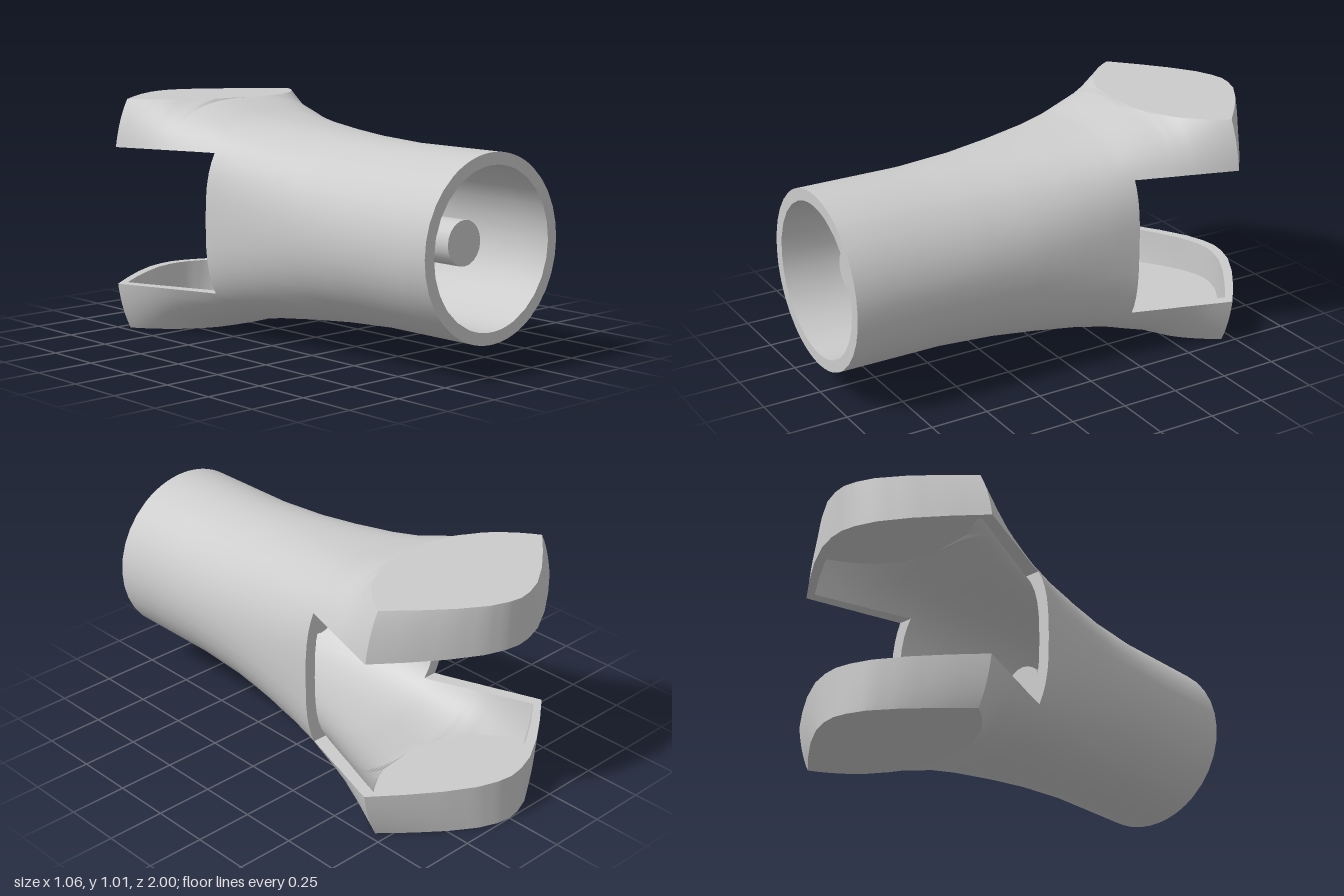
import * as THREE from 'three';
import { toCreasedNormals } from 'three/addons/utils/BufferGeometryUtils.js';

const STEPS = 10;          // columns per panel of a cross-section
const WALL = 0.05;
const SPLIT = 0.3;         // fork slot half height
const CAP = 0.505;         // flat top and bottom, measured from the axis
const CORNER = -0.7;       // widest point of the fork

// Stations along the body: z, half width, half height, roundness exponent
const STATIONS = [
  [1, 0.377, 0.377, 2], [0.55, 0.377, 0.378, 2], [0.3, 0.383, 0.391, 2.1],
  [0.1, 0.395, 0.408, 2.3], [-0.1, 0.412, 0.428, 2.6], [-0.23, 0.426, 0.447, 2.9],
  [-0.27, 0.431, 0.457, 3], [-0.35, 0.452, 0.482, 3], [-0.43, 0.476, 0.505, 3],
  [-0.49, 0.49, 0.533, 3], [-0.58, 0.512, 0.6, 3], [CORNER, 0.545, 0.7, 3],
  [-0.8, 0.415, 0.7, 3], [-0.89, 0.285, 0.7, 3], [-0.96, 0.16, 0.7, 3],
  [-0.99, 0.07, 0.7, 3], [-1, 0, 0.7, 3],
];

// Each span of stations is divided in three
function allRows() {
  const rows = [STATIONS[0]];
  for (let i = 1; i < STATIONS.length; i++)
    for (let k = 1; k <= 3; k++)
      rows.push(STATIONS[i].map((v, c) => k === 3 ? v : THREE.MathUtils.lerp(STATIONS[i - 1][c], v, k / 3)));
  return rows;
}

// One closed cross-section: a superellipse cut flat at top and bottom
function section([z, a, b, n], inner) {
  let cap = CAP;
  if (inner) {
    cap -= WALL;
    b -= WALL;
    if (z < CORNER) {
      a *= 1 - WALL / 0.545;
      z = CORNER + (z - CORNER) * 0.84;
    } else a -= WALL;
  }
  const angleAt = y => y < b ? Math.asin(Math.pow(y / b, n / 2)) : Math.PI / 2;
  const s = angleAt(SPLIT), c = angleAt(cap), P = Math.PI;
  const breaks = [-s, s, c, P - c, P - s, P + s, P + c, 2 * P - c, 2 * P - s];
  const bend = v => Math.sign(v) * Math.pow(Math.abs(v), 2 / n);
  const cx = 0.01 * THREE.MathUtils.clamp((z + 0.7) / 0.4, 0, 1);
  const pts = [];
  for (let j = 0; j <= 8 * STEPS; j++) {
    const k = Math.min(7, Math.floor(j / STEPS));
    const t = THREE.MathUtils.lerp(breaks[k], breaks[k + 1], j / STEPS - k);
    const y = THREE.MathUtils.clamp(b * bend(Math.sin(t)), -cap, cap);
    pts.push(new THREE.Vector3(cx + a * bend(Math.cos(t)), y + CAP, z));
  }
  return pts;
}

// Collects quads, leaving out collapsed triangles
function surface() {
  const out = [], tri = new THREE.Triangle();
  const add = (a, b, c) => {
    if (tri.set(a, b, c).getArea() > 1e-8) for (const p of [a, b, c]) out.push(p.x, p.y, p.z);
  };
  return {
    quad(a, b, c, d) { add(a, b, c); add(a, c, d); },
    mesh(name, material) {
      const g = new THREE.BufferGeometry();
      g.setAttribute('position', new THREE.Float32BufferAttribute(out, 3));
      const m = new THREE.Mesh(toCreasedNormals(g, 0.5), material);
      m.name = name;
      return m;
    },
  };
}

export function createModel() {
  const group = new THREE.Group();
  group.name = 'forkedTube';
  const material = new THREE.MeshStandardMaterial({ color: 0xcccccc, side: THREE.DoubleSide });

  const rows = allRows();
  const outer = rows.map(r => section(r, false));
  const inner = rows.map(r => section(r, true));
  const leftNotch = rows.findIndex(r => r[0] <= -0.27);
  const rightNotch = rows.findIndex(r => r[0] <= -0.23);

  // Outer and inner walls; the side panels stop at the slot
  const skin = surface(), lining = surface();
  for (let i = 0; i < rows.length - 1; i++) {
    for (let j = 0; j < 8 * STEPS; j++) {
      const panel = Math.floor(j / STEPS);
      if ((panel === 0 && i >= leftNotch) || (panel === 4 && i >= rightNotch)) continue;
      skin.quad(outer[i][j], outer[i + 1][j], outer[i + 1][j + 1], outer[i][j + 1]);
      lining.quad(inner[i][j], inner[i][j + 1], inner[i + 1][j + 1], inner[i + 1][j]);
    }
  }
  group.add(skin.mesh('outerWall', material), lining.mesh('innerWall', material));

  // Ring at the tube mouth and edges of the slot, across the wall thickness
  const ring = surface(), edge = surface();
  const across = (s, i, j) => s.quad(outer[i][j], outer[i][j + 1], inner[i][j + 1], inner[i][j]);
  for (let j = 0; j < 8 * STEPS; j++) across(ring, 0, j);
  for (let j = 0; j < STEPS; j++) {
    across(edge, leftNotch, j);
    across(edge, rightNotch, 4 * STEPS + j);
  }
  for (const [j, start] of [[0, leftNotch], [STEPS, leftNotch], [4 * STEPS, rightNotch], [5 * STEPS, rightNotch]])
    for (let i = start; i < rows.length - 1; i++)
      edge.quad(outer[i][j], outer[i + 1][j], inner[i + 1][j], inner[i][j]);
  group.add(ring.mesh('mouthRing', material), edge.mesh('slotEdge', material));

  // Loose pin on the tube axis
  const pinGeometry = new THREE.CylinderGeometry(0.093, 0.093, 0.75, 20);
  pinGeometry.rotateX(Math.PI / 2);
  const pin = new THREE.Mesh(pinGeometry, material);
  pin.name = 'centrePin';
  pin.position.set(0.01, 0.51, 0.475);
  group.add(pin);

  return group;
}
